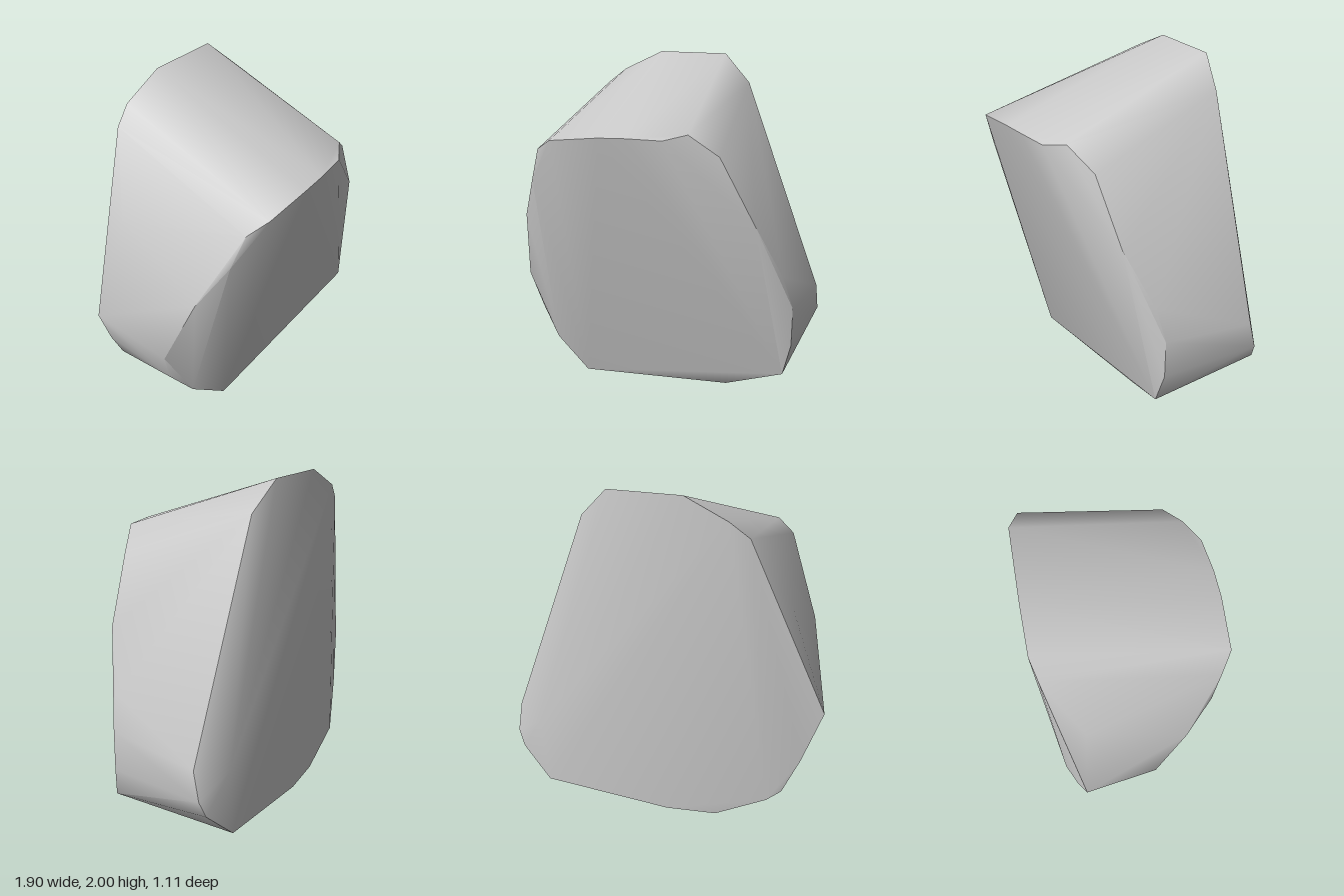
import * as THREE from 'three';
import { ConvexGeometry } from 'three/addons/geometries/ConvexGeometry.js';
import { toCreasedNormals } from 'three/addons/utils/BufferGeometryUtils.js';

// Corners of the sloping front face, clockwise from the upper left
const frontRing = [
  [-0.46, 1.6, 0.55], [-0.16, 1.635, 0.555], [0, 1.64, 0.545], [0.2, 1.635, 0.515],
  [0.32, 1.66, 0.43], [0.48, 1.53, 0.35], [0.68, 1.14, 0.3], [0.83, 0.8, 0.17],
  [0.89, 0.6, 0.14], [0.89, 0.36, 0.14], [0.85, 0.18, 0.17], [0.48, 0.01, 0.08],
  [-0.43, 0, 0.17], [-0.66, 0.18, 0.12], [-0.79, 0.36, 0.06], [-0.86, 0.6, 0.1],
  [-0.77, 1.06, 0.28], [-0.64, 1.33, 0.43], [-0.57, 1.53, 0.48],
];

// Corners of the nearly upright back face, in the same order
const backRing = [
  [-0.52, 1.79, -0.5], [-0.41, 1.88, -0.53], [-0.16, 2, -0.53], [0.27, 2, -0.53],
  [0.44, 1.83, -0.48], [0.94, 0.54, -0.44], [0.95, 0.37, -0.48], [0.91, 0.27, -0.5],
  [0.76, 0.5, -0.555], [0.72, 0.09, -0.55], [-0.05, 0.01, -0.515],
  [-0.35, 0.01, -0.48], [-0.66, 0.17, -0.47], [-0.74, 0.22, -0.43],
  [-0.84, 0.44, -0.4], [-0.95, 0.74, -0.35], [-0.73, 1.34, -0.3],
];

export function createModel() {
  const stone = new THREE.MeshStandardMaterial({ color: 0xc9c9c9 });
  stone.name = 'stone grey';

  // One boulder: the hull of both faces, with soft shallow edges and sharp rims
  const corners = [...frontRing, ...backRing].map((p) => new THREE.Vector3(...p));
  const geometry = toCreasedNormals(new ConvexGeometry(corners), 0.8);
  const boulder = new THREE.Mesh(geometry, stone);
  boulder.name = 'boulder';

  const model = new THREE.Group();
  model.name = 'rock';
  model.add(boulder);
  return model;
}
